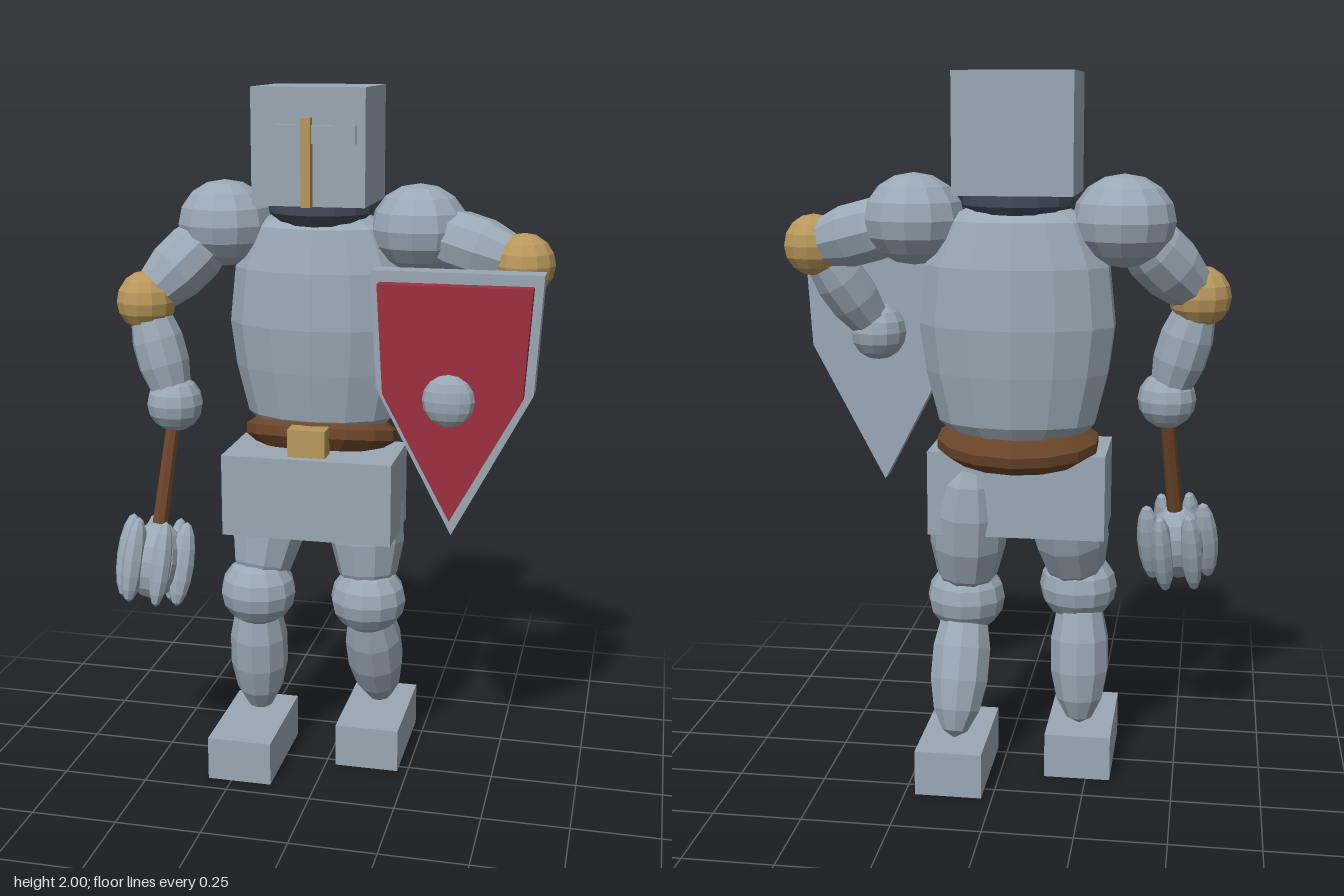
import * as THREE from 'three';

const mat = (name, color) => {
  const m = new THREE.MeshStandardMaterial({ color, flatShading: true });
  m.name = name;
  return m;
};

export function createModel() {
  const steel = mat('steel', 0x9aa8b5);
  const gold = mat('gold', 0xb8975a);
  const leather = mat('brown leather', 0x6b4529);
  const red = mat('shield red', 0x9e3040);
  const dark = mat('dark steel', 0x424a5a);

  const model = new THREE.Group();
  model.name = 'armouredKnight';
  const V = (p) => new THREE.Vector3(...p);
  const UP = new THREE.Vector3(0, 1, 0);

  const add = (name, geo, material, pos = [0, 0, 0], parent = model) => {
    const mesh = new THREE.Mesh(geo, material);
    mesh.name = name;
    mesh.position.set(...pos);
    parent.add(mesh);
    return mesh;
  };
  // box given by its lowest and highest corner
  const box = (name, a, b, material) => add(name,
    new THREE.BoxGeometry(b[0] - a[0], b[1] - a[1], b[2] - a[2]), material,
    a.map((v, i) => (v + b[i]) / 2));
  const ball = (name, pos, r, material, parent, seg = 12) => {
    const mesh = add(name, new THREE.SphereGeometry(1, seg, 8), material, pos, parent);
    mesh.scale.set(...r);
    return mesh;
  };
  // ellipsoid stretched between two points
  const limb = (name, a, b, r, reach = 0.5) => {
    const d = V(b).sub(V(a));
    const mesh = add(name, new THREE.SphereGeometry(1, 10, 7), steel);
    mesh.position.copy(V(a)).addScaledVector(d, 0.5);
    mesh.scale.set(r, d.length() * reach, r);
    mesh.quaternion.setFromUnitVectors(UP, d.normalize());
    return mesh;
  };
  const lathe = (name, pts, seg, material, pos, depth) => {
    const mesh = add(name, new THREE.LatheGeometry(pts.map((p) => new THREE.Vector2(...p)), seg), material, pos);
    mesh.scale.z = depth;
    return mesh;
  };

  // Helmet
  box('helmet', [-0.21, 1.68, -0.26], [0.11, 2, 0.03], steel);
  box('visorSlot', [-0.19, 1.85, 0.025], [0.085, 1.9, 0.042], steel);
  box('noseGuard', [-0.064, 1.68, 0.03], [-0.037, 1.92, 0.058], gold);

  // Collar, torso and belt
  lathe('collar', [[0, -0.045], [0.11, -0.045], [0.15, 0], [0.15, 0.03], [0.12, 0.045], [0, 0.045]],
    14, dark, [-0.05, 1.65, -0.13], 0.85);
  lathe('torso', [[0, 0.97], [0.14, 0.985], [0.22, 1.06], [0.255, 1.2], [0.272, 1.33],
    [0.255, 1.49], [0.2, 1.61], [0.1, 1.665], [0, 1.675]], 14, steel, [-0.05, 0, -0.14], 0.6);
  const belt = lathe('belt', [[0, -0.05], [0.18, -0.05], [0.227, -0.015], [0.227, 0.015], [0.18, 0.05], [0, 0.05]],
    14, leather, [-0.05, 1.0, -0.135], 0.65);
  belt.rotation.x = -0.22;
  box('buckle', [-0.107, 0.955, -0.005], [0.003, 1.05, 0.055], gold);
  box('hipGuard', [-0.297, 0.73, -0.178], [0.2, 0.97, 0.082], steel);

  // Legs
  const legs = [
    { side: 'right', hip: [-0.165, 0.96, -0.12], knee: [-0.21, 0.54, 0.01],
      shinTop: [-0.215, 0.55, 0.0], shinEnd: [-0.222, 0.13, -0.045], foot: [-0.32, -0.145] },
    { side: 'left', hip: [0.085, 0.96, -0.125], knee: [0.11, 0.515, -0.06],
      shinTop: [0.11, 0.53, -0.05], shinEnd: [0.125, 0.13, -0.2], foot: [0.03, -0.31] },
  ];
  for (const { side, hip, knee, shinTop, shinEnd, foot } of legs) {
    limb(side + 'Thigh', hip, knee, 0.112, 0.52);
    ball(side + 'Knee', knee, [0.113, 0.105, 0.108], steel);
    limb(side + 'Shin', shinTop, shinEnd, 0.088);
    box(side + 'Foot', [foot[0], 0, foot[1]], [foot[0] + 0.19, 0.13, foot[1] + 0.34], steel);
  }

  // Arms
  const arms = [
    { side: 'right', shoulder: [-0.335, 1.61, -0.135], elbow: [-0.54, 1.395, -0.01], hand: [-0.455, 1.1, 0.01] },
    { side: 'left', shoulder: [0.235, 1.61, -0.135], elbow: [0.538, 1.528, -0.057], hand: [0.385, 1.27, 0.055] },
  ];
  for (const { side, shoulder, elbow, hand } of arms) {
    ball(side + 'Shoulder', shoulder, [0.14, 0.125, 0.137], steel);
    limb(side + 'UpperArm', shoulder, elbow, 0.092, 0.56);
    ball(side + 'Elbow', elbow, [0.087, 0.087, 0.087], gold);
    limb(side + 'Forearm', elbow, hand, 0.077, 0.56);
    ball(side + 'Hand', hand, [0.083, 0.083, 0.08], steel);
  }

  // Mace: handle, core and ring of flanges, hanging from the right hand
  const mace = new THREE.Group();
  mace.name = 'mace';
  const grip = V([-0.452, 1.1, 0.01]);
  const head = V([-0.493, 0.65, 0.12]);
  mace.position.copy(head);
  mace.quaternion.setFromUnitVectors(UP, grip.clone().sub(head).normalize());
  model.add(mace);
  const length = grip.distanceTo(head);
  add('maceHandle', new THREE.CylinderGeometry(0.02, 0.024, length, 8), leather, [0, length / 2, 0], mace);
  ball('maceCore', [0, 0, 0], [0.085, 0.115, 0.085], steel, mace, 10);
  for (let i = 0; i < 6; i++) {
    const a = (i / 6) * Math.PI * 2;
    const flange = ball('maceFlange', [Math.cos(a) * 0.082, 0, Math.sin(a) * 0.082],
      [0.037, 0.125, 0.03], steel, mace, 8);
    flange.rotation.y = -a;
  }

  // Shield: rim plate, painted face and boss
  const plate = (name, outline, z, depth, material) => add(name,
    new THREE.ExtrudeGeometry(new THREE.Shape(outline.map((p) => new THREE.Vector2(...p))),
      { depth, bevelEnabled: false }), material, [0.385, 0, z]);
  const shield = (w, top, mw, my, bottom) => [[-w, top], [-mw, my], [0, bottom], [mw, my], [w, top]];
  plate('shieldRim', shield(0.23, 1.535, 0.212, 1.215, 0.812), 0.112, 0.066, steel);
  plate('shieldFace', shield(0.205, 1.505, 0.187, 1.21, 0.865), 0.178, 0.043, red);
  ball('shieldBoss', [0.385, 1.215, 0.28], [0.07, 0.07, 0.035], steel);

  return model;
}
